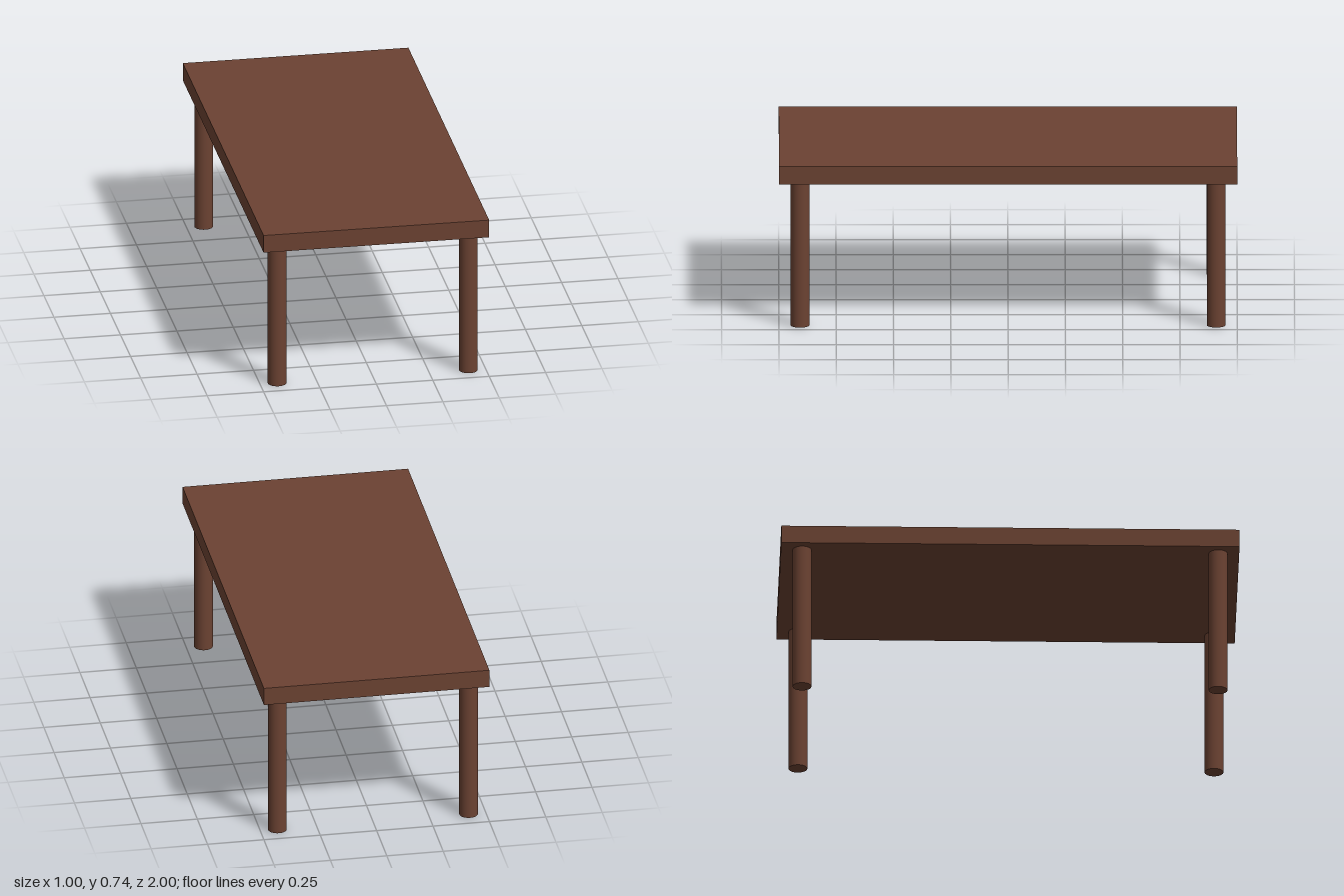
import * as THREE from 'three';

export function createModel() {
  const table = new THREE.Group();
  table.name = 'table';
  const wood = new THREE.MeshStandardMaterial({ color: 0x6b4232 });

  const legHeight = 0.657, topThickness = 0.081, legRadius = 0.041;

  // Flat slab top
  const top = new THREE.Mesh(new THREE.BoxGeometry(1, topThickness, 2), wood);
  top.name = 'tableTop';
  top.position.y = legHeight + topThickness / 2;
  table.add(top);

  // Four round legs set in from the corners
  const legGeometry = new THREE.CylinderGeometry(legRadius, legRadius, legHeight, 32);
  for (const [sz, end] of [[1, 'front'], [-1, 'back']]) {
    for (const [sx, side] of [[1, 'Left'], [-1, 'Right']]) {
      const leg = new THREE.Mesh(legGeometry, wood);
      leg.name = `${end}${side}Leg`;
      leg.position.set(sx * 0.424, legHeight / 2, sz * 0.908);
      table.add(leg);
    }
  }
  return table;
}
